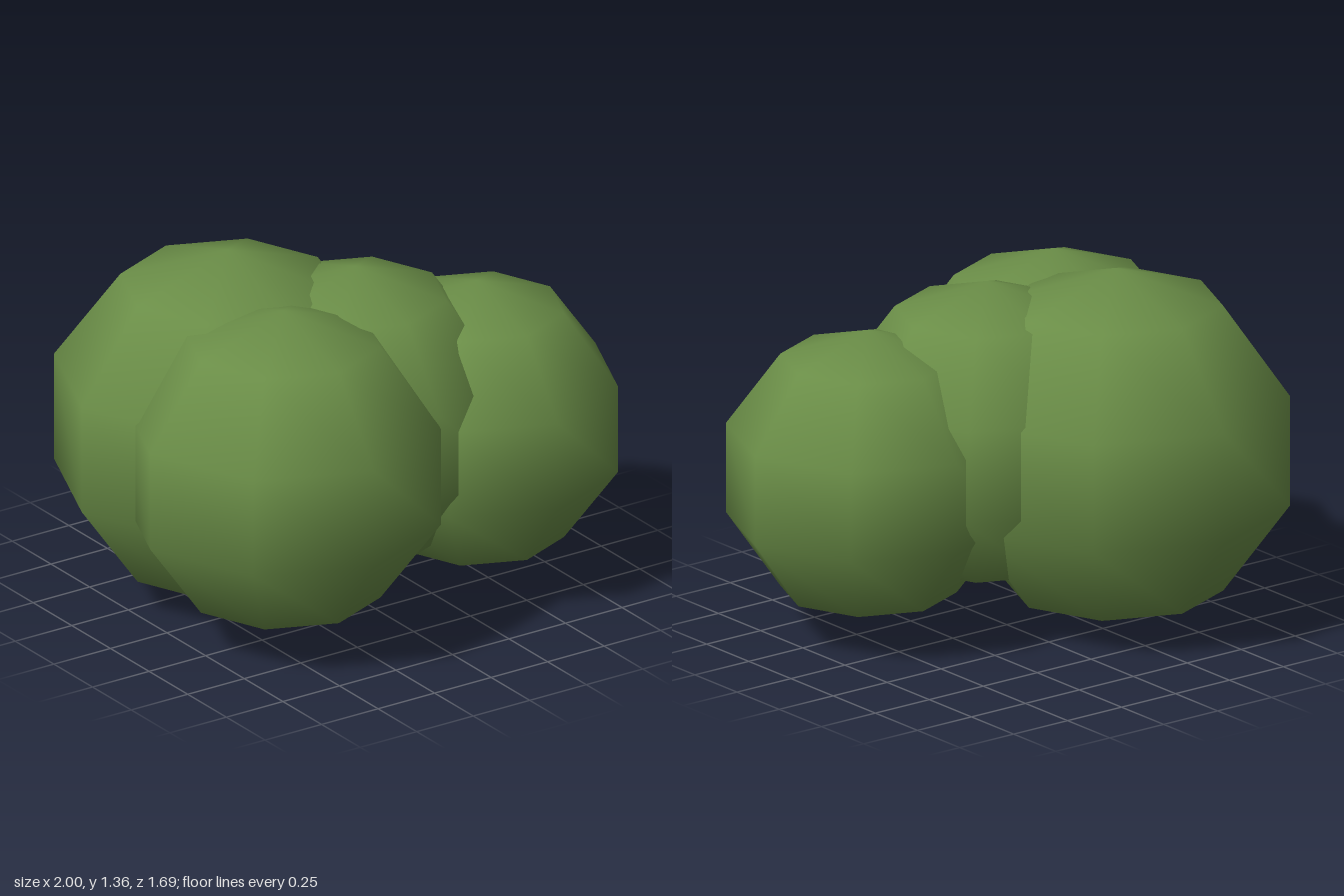
import * as THREE from 'three';

export function createModel() {
  const model = new THREE.Group();
  model.name = 'bush';

  const leafGreen = new THREE.MeshStandardMaterial({ color: 0x6a8d47 });
  leafGreen.name = 'leaf green';

  // Overlapping low-poly foliage clumps: name, radius, centre
  const clumps = [
    ['backClump', 0.678, [-0.345, 0.678, -0.2]],
    ['frontRightClump', 0.617, [-0.413, 0.68, 0.257]],
    ['middleClump', 0.58, [0.02, 0.725, 0.09]],
    ['leftClump', 0.552, [0.475, 0.627, 0.212]],
  ];

  for (const [name, radius, centre] of clumps) {
    const clump = new THREE.Mesh(new THREE.SphereGeometry(radius, 8, 5), leafGreen);
    clump.name = name;
    clump.position.set(...centre);
    model.add(clump);
  }
  return model;
}
